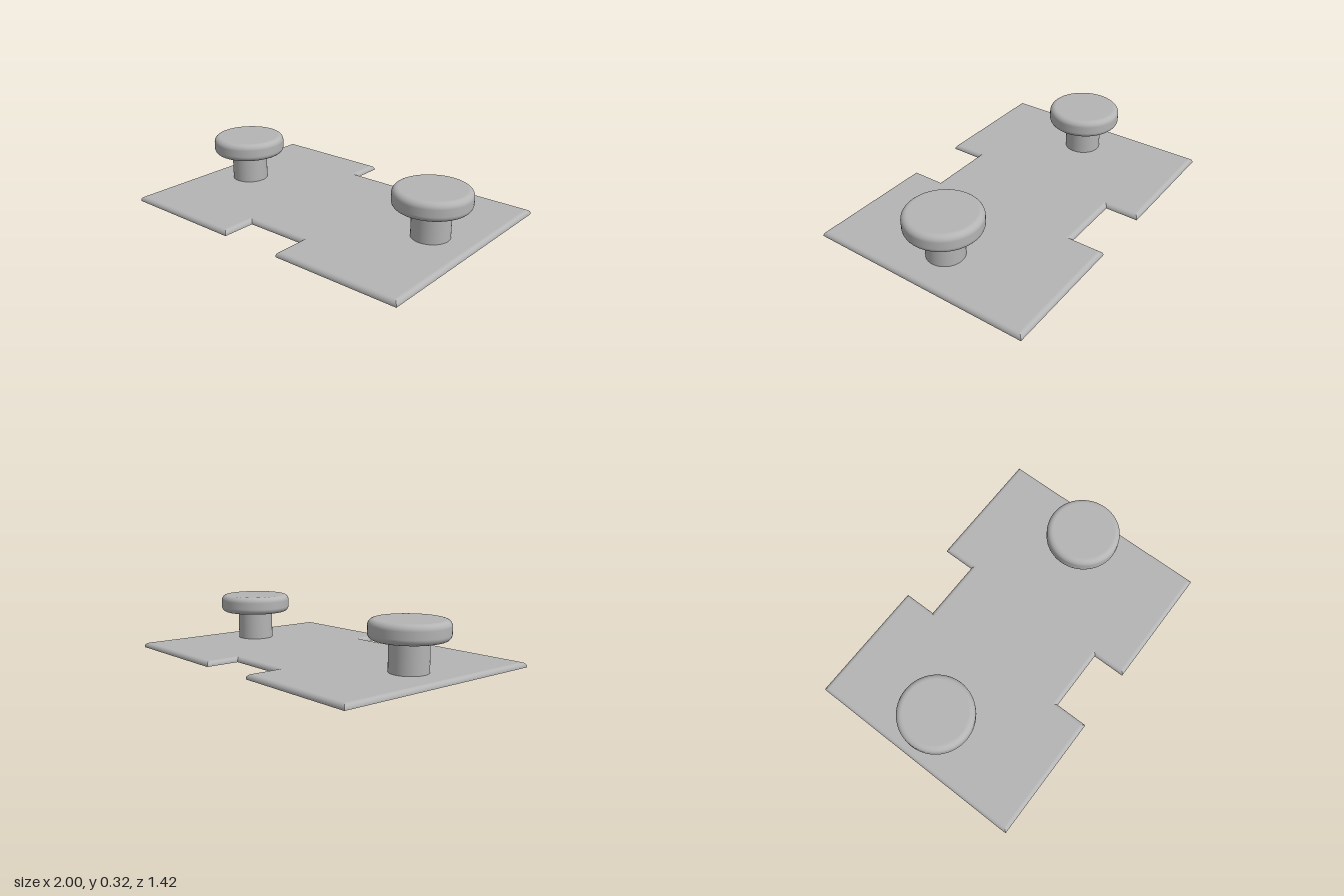
import * as THREE from 'three';
import { mergeGeometries } from 'three/addons/utils/BufferGeometryUtils.js';

const HEIGHT = 0.03, ROUND = 0.026;

// Plate outline with a notch front and back, inset by d (counter-clockwise from above)
function outline(d) {
  const x = 1 - d, z = 0.71 - d, nx = 0.2 + d, nz = 0.5 - d;
  const half = [[-x, -z], [-nx, -z], [-nx, -nz], [nx, -nz], [nx, -z], [x, -z]];
  return [...half, ...half.map(([a, b]) => [-a, -b])];
}

function plateFace(d, y, up) {
  const shape = new THREE.Shape(outline(d).map(([x, z]) => new THREE.Vector2(x, z)));
  return new THREE.ShapeGeometry(shape).rotateX(up ? -Math.PI / 2 : Math.PI / 2).translate(0, y, 0);
}

// Rounded rim: one smooth strip per edge, so the mitred corners stay sharp
function plateRim() {
  const steps = 8, levels = [[0, 0]];
  for (let i = 0; i <= steps; i++) {
    const a = (i / steps) * Math.PI / 2;
    levels.push([ROUND * (1 - Math.cos(a)), HEIGHT - ROUND * (1 - Math.sin(a))]);
  }
  const pos = [], uv = [], index = [];
  for (let e = 0; e < 12; e++) {
    const base = pos.length / 3;
    levels.forEach(([d, y], i) => {
      const pts = outline(d);
      for (const [x, z] of [pts[e], pts[(e + 1) % 12]]) {
        pos.push(x, y, -z);
        uv.push(0, 0);
      }
      if (i) {
        const a = base + 2 * (i - 1);
        index.push(a, a + 1, a + 3, a, a + 3, a + 2);
      }
    });
  }
  const g = new THREE.BufferGeometry();
  g.setAttribute('position', new THREE.Float32BufferAttribute(pos, 3));
  g.setAttribute('uv', new THREE.Float32BufferAttribute(uv, 2));
  g.setIndex(index);
  g.computeVertexNormals();
  return g;
}

// Round head with filleted top and bottom edges
function headGeometry() {
  const R = 0.23, r = 0.036, low = 0.21, high = 0.325, pts = [];
  const arc = (y, from) => {
    for (let i = 0; i <= 8; i++) {
      const a = from + (i / 8) * Math.PI / 2;
      pts.push(new THREE.Vector2(R - r + r * Math.cos(a), y + r * Math.sin(a)));
    }
  };
  pts.push(new THREE.Vector2(0, low), new THREE.Vector2(R - r - 0.001, low));
  arc(low + r, -Math.PI / 2);
  arc(high - r, 0);
  pts.push(new THREE.Vector2(R - r - 0.001, high), new THREE.Vector2(0, high));
  return new THREE.LatheGeometry(pts, 64);
}

export function createModel() {
  const model = new THREE.Group();
  model.name = 'doubleBollard';
  const metal = new THREE.MeshStandardMaterial({ color: 0xb4b4b4 });
  metal.name = 'grey metal';

  const add = (name, geometry, parent) => {
    const mesh = new THREE.Mesh(geometry, metal);
    mesh.name = name;
    parent.add(mesh);
  };

  add('basePlate', mergeGeometries([plateFace(0, 0, false), plateRim(), plateFace(ROUND, HEIGHT, true)]), model);

  // Two mushroom-headed posts
  for (const side of [1, -1]) {
    const bollard = new THREE.Group();
    bollard.name = side > 0 ? 'leftBollard' : 'rightBollard';
    bollard.position.x = side * 0.73;
    add('post', new THREE.CylinderGeometry(0.115, 0.115, 0.19, 64, 1, true).translate(0, 0.12, 0), bollard);
    add('head', headGeometry(), bollard);
    model.add(bollard);
  }
  return model;
}
